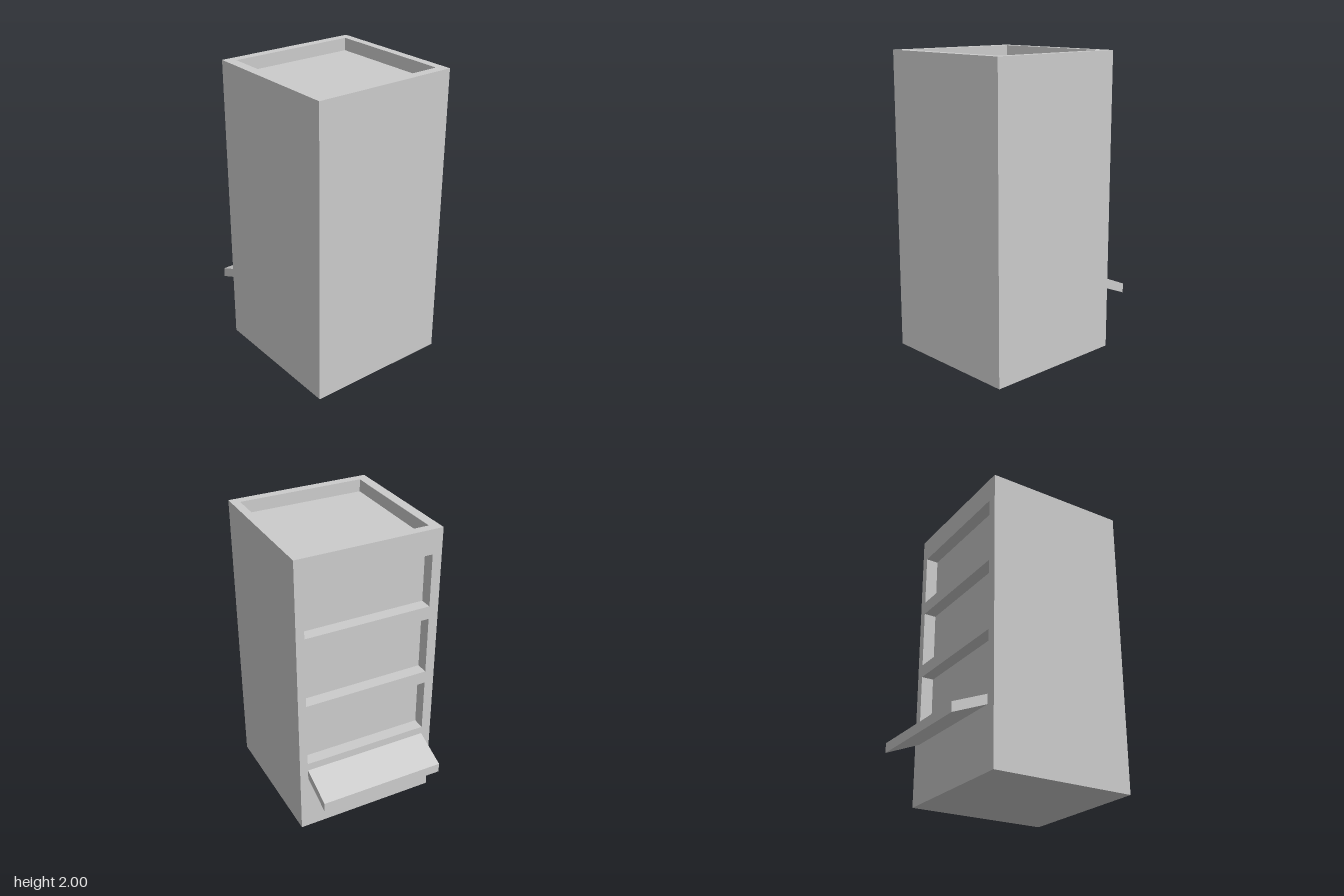
import * as THREE from 'three';

const X = 0.495, H = 2, ZB = -0.375, ZF = 0.613; // half width, height, back and front
const DEPTH = 0.085;                             // depth of every recess
const material = new THREE.MeshStandardMaterial({ color: 0xcccccc });

function add(parent, name, geometry) {
  const mesh = new THREE.Mesh(geometry, material);
  mesh.name = name;
  parent.add(mesh);
  return mesh;
}

// Box keeping only the listed sides (0..5 = +x, -x, +y, -y, +z, -z)
function boxSides(w, h, d, sides) {
  const g = new THREE.BoxGeometry(w, h, d);
  const all = Array.from(g.index.array);
  g.setIndex(sides.flatMap((s) => all.slice(s * 6, s * 6 + 6)));
  g.clearGroups();
  return g;
}

// Inward-facing tray, open towards +z with its rim at z = 0
function pocketGeometry([x0, y0, x1, y1]) {
  const g = boxSides(x1 - x0, y1 - y0, DEPTH, [0, 1, 2, 3, 4]);
  g.scale(1, 1, -1);
  g.translate((x0 + x1) / 2, (y0 + y1) / 2, -DEPTH / 2);
  const inward = g.toNonIndexed();
  inward.computeVertexNormals();
  return inward;
}

function rectangle(Path, [x0, y0, x1, y1]) {
  return new Path([[x0, y0], [x1, y0], [x1, y1], [x0, y1]].map((p) => new THREE.Vector2(...p)));
}

// Flat panel facing +z, with rectangular recesses set into it
function recessedPanel(name, outline, recesses, recessName) {
  const group = new THREE.Group();
  group.name = name;
  const shape = rectangle(THREE.Shape, outline);
  shape.holes = recesses.map((r) => rectangle(THREE.Path, r));
  add(group, name + 'Face', new THREE.ShapeGeometry(shape));
  recesses.forEach((r) => add(group, recessName, pocketGeometry(r)));
  return group;
}

export function createModel() {
  const model = new THREE.Group();
  model.name = 'cabinet';

  // Front, sides and underside
  const body = add(model, 'body', boxSides(2 * X, H, ZF - ZB, [0, 1, 3, 4]));
  body.position.set(0, H / 2, (ZF + ZB) / 2);

  // Back with three stacked shelf openings (panel x is mirrored)
  const openings = [[0.53, 0.898], [0.986, 1.385], [1.475, 1.834]]
    .map(([low, high]) => [-0.439, low, 0.429, high]);
  const back = recessedPanel('backPanel', [-X, 0, X, H], openings, 'shelfOpening');
  back.rotation.y = Math.PI;
  back.position.z = ZB;
  model.add(back);

  // Top with a sunken tray (panel y is minus z)
  const top = recessedPanel('topPanel', [-X, -ZF, X, -ZB], [[-0.428, -0.551, 0.439, 0.315]], 'topTray');
  top.rotation.x = -Math.PI / 2;
  top.position.y = H;
  model.add(top);

  // Sloping ledge, a sheared slab running down and out from the back
  const profile = new THREE.Shape([[-ZB, 0.41], [0.613, 0.312], [0.613, 0.378], [-ZB, 0.476]]
    .map((p) => new THREE.Vector2(...p)));
  const ledge = add(model, 'slopingLedge',
    new THREE.ExtrudeGeometry(profile, { depth: 0.865, bevelEnabled: false }));
  ledge.rotation.y = Math.PI / 2;
  ledge.position.x = -0.427;

  return model;
}
